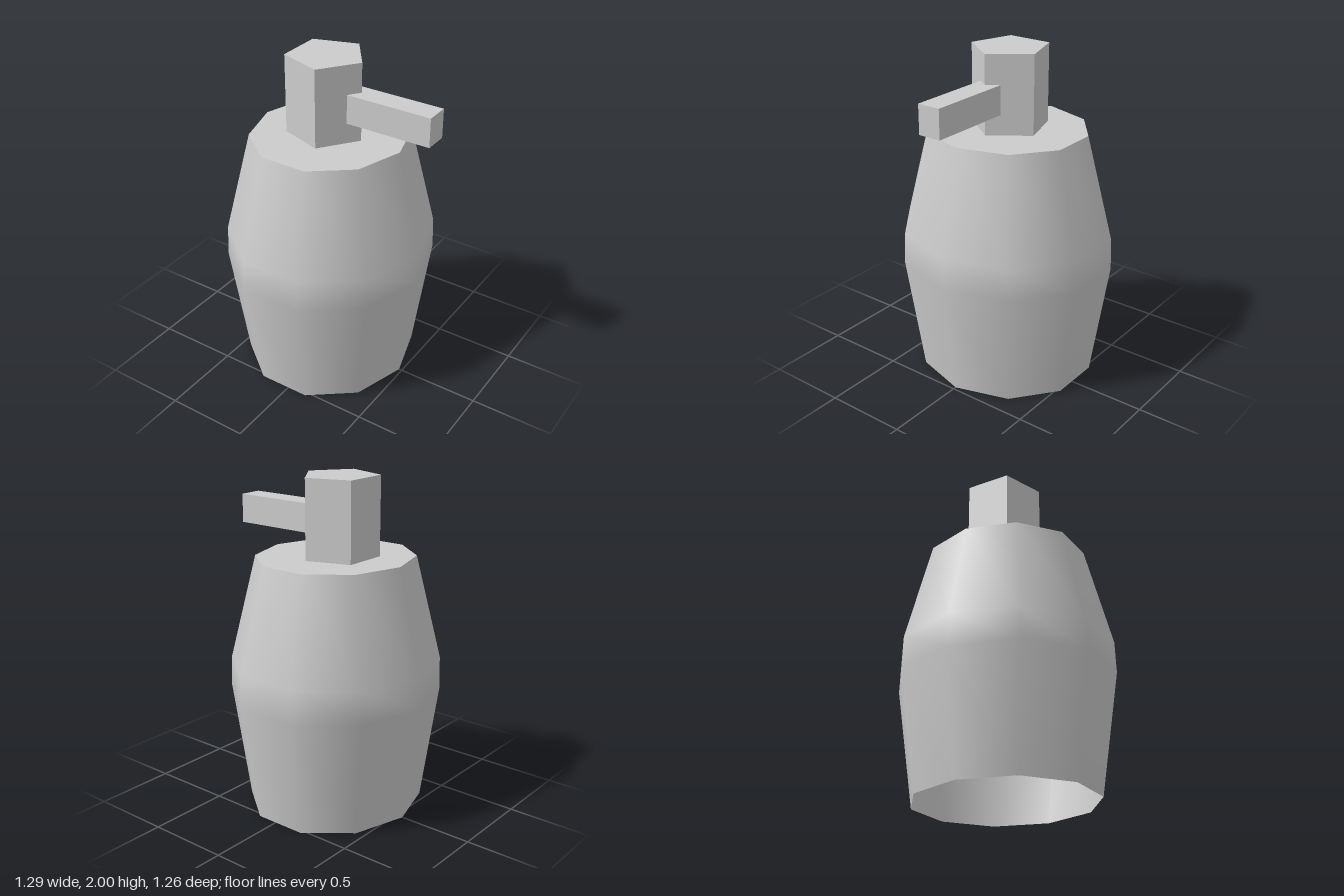
import * as THREE from 'three';

export function createModel() {
  const group = new THREE.Group();
  const grey = new THREE.MeshStandardMaterial({ color: 0xcccccc, side: THREE.DoubleSide });
  grey.name = 'light grey';

  const add = (name, geometry, x, y, z = 0) => {
    const mesh = new THREE.Mesh(geometry, grey);
    mesh.name = name;
    mesh.position.set(x, y, z);
    group.add(mesh);
    return mesh;
  };

  const SIDES = 10, DEPTH = 1.077, BODY_X = -0.032, TOP = 1.53, TOP_R = 0.457;

  // Ten-sided smooth shell, open at the bottom and slightly deeper than wide
  const profile = [[0.513, 0], [0.613, 0.72], [0.607, 0.91], [TOP_R, TOP]]
    .map(([r, y]) => new THREE.Vector2(r, y));
  const shell = new THREE.LatheGeometry(profile, SIDES, Math.PI / 2);
  shell.scale(1, 1, DEPTH);
  add('body', shell, BODY_X, 0);

  // Flat lid closing the top of the shell
  const lid = new THREE.CircleGeometry(TOP_R, SIDES);
  lid.rotateX(-Math.PI / 2);
  lid.scale(1, 1, DEPTH);
  add('lid', lid, BODY_X, TOP);

  // Five-sided neck with one corner pointing to +x
  const neck = new THREE.CylinderGeometry(0.232, 0.232, 2 - TOP, 5, 1, false, Math.PI / 2).toNonIndexed();
  neck.computeVertexNormals();
  add('neck', neck, -0.06, (2 + TOP) / 2);

  // Straight bar sticking out of the neck
  add('handle', new THREE.BoxGeometry(0.54, 0.173, 0.142), 0.371, 1.738);

  return group;
}
